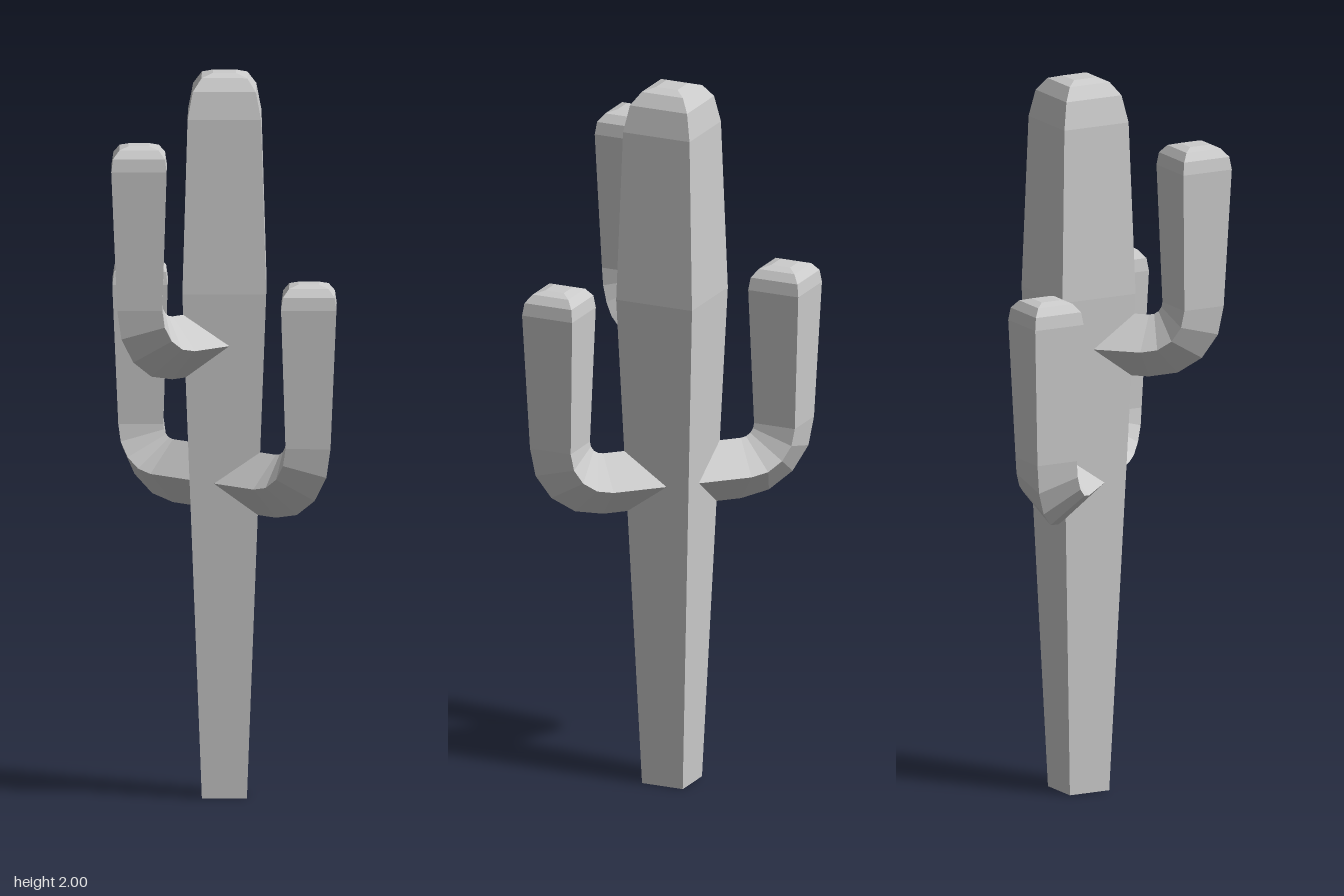
import * as THREE from 'three';

const UP = Math.PI / 2;

// Sweeps a diamond section through stations [x, y, heading, radius] in the xy plane, capped at both ends.
function diamondSweep(stations) {
  const positions = [];
  const index = [];
  for (const [x, y, a, r] of stations) {
    const nx = -Math.sin(a) * r;
    const ny = Math.cos(a) * r;
    positions.push(x + nx, y + ny, 0, x, y, r, x - nx, y - ny, 0, x, y, -r);
  }
  for (let i = 0; i < stations.length - 1; i++) {
    for (let j = 0; j < 4; j++) {
      const a = i * 4 + j;
      const b = i * 4 + (j + 1) % 4;
      index.push(a, b, b + 4, a, b + 4, a + 4);
    }
  }
  const e = (stations.length - 1) * 4;
  index.push(0, 2, 1, 0, 3, 2, e, e + 1, e + 2, e, e + 2, e + 3);
  const indexed = new THREE.BufferGeometry();
  indexed.setAttribute('position', new THREE.Float32BufferAttribute(positions, 3));
  indexed.setIndex(index);
  const geometry = indexed.toNonIndexed();
  geometry.computeVertexNormals();
  return geometry;
}

export function createModel() {
  const group = new THREE.Group();
  group.name = 'cactus';
  const material = new THREE.MeshStandardMaterial({ color: 0xcccccc, flatShading: true });

  // Trunk: widens upward, then closes in a blunt crown
  const trunkProfile = [[0, 0.087], [1.4, 0.162], [1.88, 0.142], [1.955, 0.122], [1.99, 0.088], [2, 0.045]];
  const trunk = new THREE.Mesh(diamondSweep(trunkProfile.map(([y, r]) => [0, y, UP, r])), material);
  trunk.name = 'trunk';

  // Arm: short horizontal stub, rounded elbow, upright with a blunt tip
  const armStations = [[0.02, 0.875, 0, 0.087]];
  const bend = 0.125;
  for (let i = 0; i <= 4; i++) {
    const a = (i / 4) * UP;
    armStations.push([0.2 + bend * Math.sin(a), 1 - bend * Math.cos(a), a, 0.087]);
  }
  for (const [y, r] of [[1.385, 0.107], [1.42, 0.1], [1.442, 0.076], [1.45, 0.04]]) {
    armStations.push([0.328, y, UP, r]);
  }
  const armGeometry = diamondSweep(armStations);

  // Three arms turned around the trunk, the front one set higher
  const arms = [['leftArm', 0, 0], ['rightArm', Math.PI, 0], ['frontArm', -UP, 0.382]];
  for (const [name, turn, lift] of arms) {
    const arm = new THREE.Mesh(armGeometry, material);
    arm.name = name;
    arm.rotation.y = turn;
    arm.position.y = lift;
    group.add(arm);
  }
  group.add(trunk);

  // The trunk stands behind the centre to balance the front arm
  for (const part of group.children) part.position.z = -0.138;
  return group;
}
